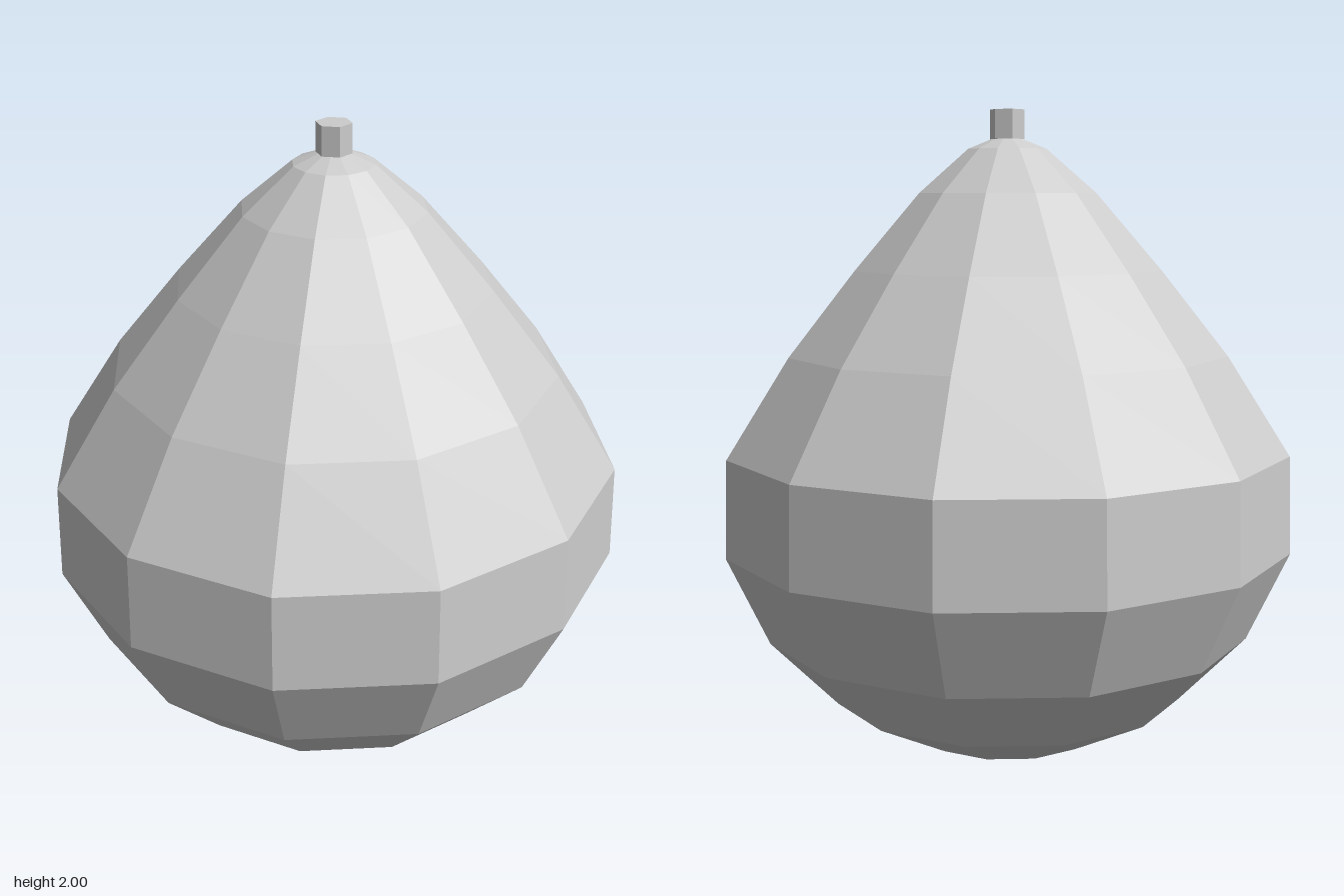
import * as THREE from 'three';

export function createModel() {
  const model = new THREE.Group();
  const paleGrey = new THREE.MeshStandardMaterial({ color: 0xcccccc, flatShading: true });
  paleGrey.name = 'paleGrey';

  // Twelve-sided teardrop body, profile from the base up (radius, height)
  const profile = [
    [0, 0], [0.29, 0.005], [0.56, 0.145], [0.77, 0.36], [0.9, 0.64], [0.89, 0.945],
    [0.695, 1.25], [0.487, 1.51], [0.282, 1.745], [0.125, 1.88], [0, 1.93],
  ].map(([r, y]) => new THREE.Vector2(r, y));
  const body = new THREE.Mesh(new THREE.LatheGeometry(profile, 12), paleGrey);
  body.name = 'body';
  model.add(body);

  // Short hexagonal stem at the tip
  const stem = new THREE.Mesh(new THREE.CylinderGeometry(0.055, 0.055, 0.09, 6), paleGrey);
  stem.name = 'stem';
  stem.position.y = 1.955;
  model.add(stem);

  return model;
}
